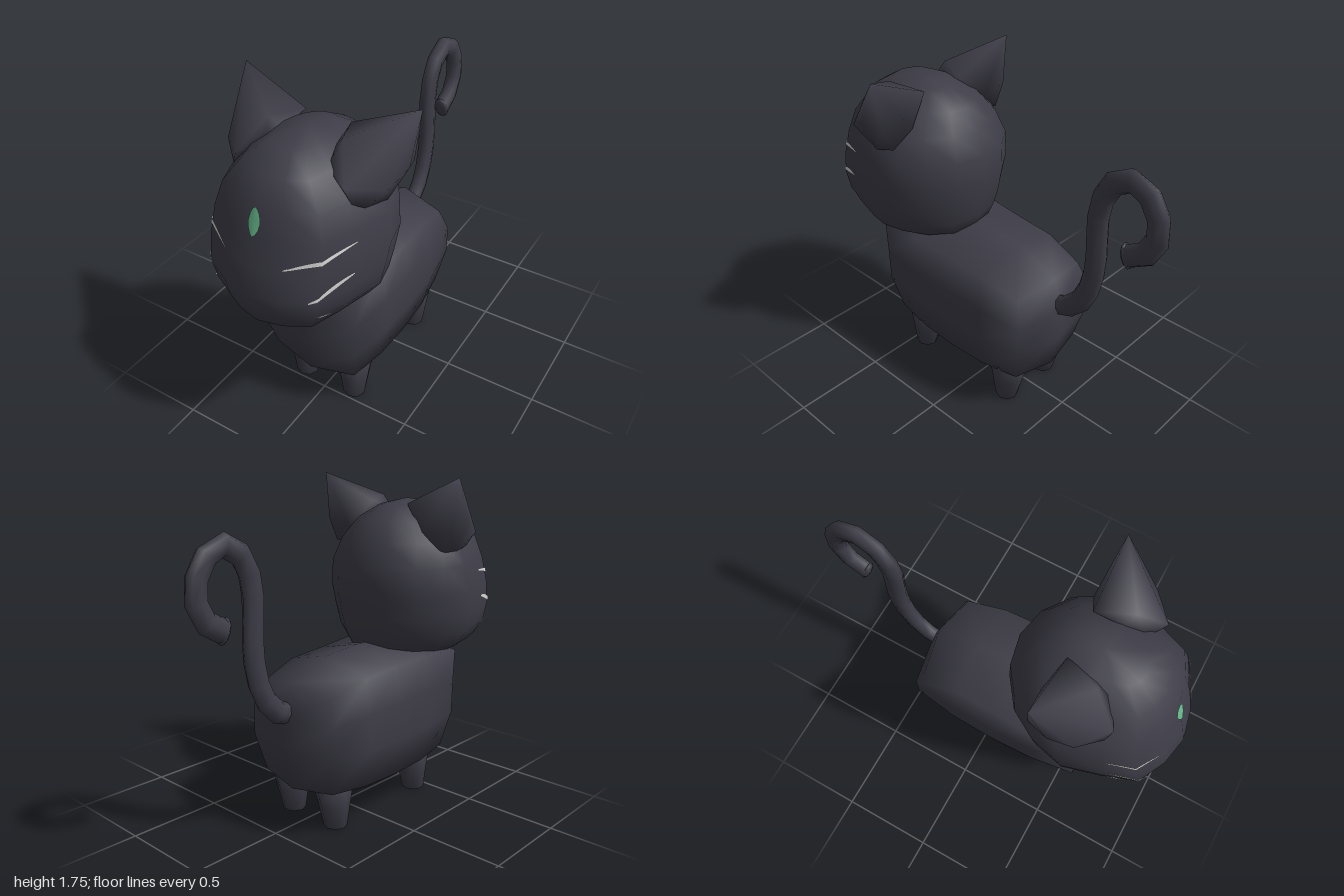
import * as THREE from 'three';
import { mergeVertices } from 'three/addons/utils/BufferGeometryUtils.js';
import { ConvexGeometry } from 'three/addons/geometries/ConvexGeometry.js';

const MID = -0.015; // x of the body's middle line

// Head cross-sections from chin to crown: y, half width, back z, front z
const HEAD = [
  [0.75, 0, 0.56, 0.56], [0.785, 0.22, 0.26, 0.84], [0.85, 0.325, 0.17, 0.955],
  [0.93, 0.385, 0.14, 0.98], [1.03, 0.405, 0.112, 1.0], [1.16, 0.42, 0.09, 0.965],
  [1.3, 0.402, 0.09, 0.925], [1.42, 0.352, 0.145, 0.885], [1.53, 0.245, 0.21, 0.82],
  [1.6, 0.13, 0.33, 0.7], [1.63, 0, 0.5, 0.5],
];

// Half outline of each cross-section from nose to nape (x, z), flat along the cheeks
const HALF = [
  [0, 1], [0.37, 0.93], [0.71, 0.77], [0.86, 0.4], [1, -0.05],
  [0.92, -0.37], [0.72, -0.69], [0.39, -0.92], [0, -1],
];
const OUTLINE = [...HALF, ...HALF.slice(1, -1).reverse().map(([x, z]) => [-x, z])];
const SEG = OUTLINE.length;

// Point on the head at height y and outline position t (0 = nose, +4 = left side, -4 = right side)
function headPoint(y, t, lift = 0) {
  let i = 0;
  while (i < HEAD.length - 2 && y > HEAD[i + 1][0]) i++;
  const f = (y - HEAD[i][0]) / (HEAD[i + 1][0] - HEAD[i][0]);
  const [, w, back, front] = HEAD[i].map((v, k) => THREE.MathUtils.lerp(v, HEAD[i + 1][k], f));
  const j = Math.floor(t), p = OUTLINE[(j + SEG) % SEG], q = OUTLINE[(j + 1 + SEG) % SEG];
  const [x, z] = p.map((v, k) => THREE.MathUtils.lerp(v, q[k], t - j));
  return new THREE.Vector3(
    MID + (w + lift) * x, y,
    (front + back) / 2 + ((front - back) / 2 + lift) * z);
}

// Weld vertices so the shading is smooth
function smooth(geometry) {
  geometry.deleteAttribute('normal');
  geometry.deleteAttribute('uv');
  const welded = mergeVertices(geometry, 1e-4);
  welded.computeVertexNormals();
  return welded;
}

function fromRings(rings) {
  const n = rings[0].length, index = [];
  for (let i = 0; i < rings.length - 1; i++) {
    for (let j = 0; j < n; j++) {
      const a = i * n + j, b = i * n + (j + 1) % n;
      index.push(a, b, a + n, b, b + n, a + n);
    }
  }
  const g = new THREE.BufferGeometry().setFromPoints(rings.flat());
  g.setIndex(index);
  return smooth(g);
}

function reshape(geometry, rule) {
  const p = geometry.attributes.position, v = new THREE.Vector3();
  for (let i = 0; i < p.count; i++) {
    rule(v.fromBufferAttribute(p, i));
    p.setXYZ(i, v.x, v.y, v.z);
  }
  return geometry;
}

export function createModel() {
  const model = new THREE.Group();
  const fur = new THREE.MeshStandardMaterial({ color: 0x3e3d48 });
  const whiskerGrey = new THREE.MeshStandardMaterial({ color: 0xd4d4d4, side: THREE.DoubleSide });
  const green = new THREE.MeshStandardMaterial({ color: 0x66b58a, side: THREE.DoubleSide });
  fur.name = 'dark fur';
  whiskerGrey.name = 'pale whisker';
  green.name = 'green mark';

  const add = (name, geometry, material = fur) => {
    const mesh = new THREE.Mesh(geometry, material);
    mesh.name = name;
    model.add(mesh);
    return mesh;
  };

  // Body: a box swollen in the middle of each face, with fuller shoulders at the chest
  const body = reshape(new THREE.BoxGeometry(2, 2, 2, 2, 3, 4), (v) => {
    const { x, y, z } = v;
    const a = Math.abs(x) ** 2, b = Math.abs(y) ** 3, c = Math.abs(z) ** 2.5;
    const shoulder = y > 0 && z > 0 ? z : 0;
    v.x = -0.02 + 0.32 * x * (1 - 0.14 * b * (1 - 0.8 * shoulder)) * (1 - 0.13 * c * (1 - 0.6 * shoulder * b));
    v.y = 0.54 + 0.345 * y * (y > 0
      ? (1 - (0.2 - 0.14 * shoulder) * a) * (1 - (z < 0 ? 0.29 : 0.16) * c)
      : (1 - 0.08 * a) * (1 - 0.07 * c));
    v.z = 0.095 + 0.545 * z * (1 - 0.09 * a) * (1 - 0.1 * b * (1 - 0.7 * shoulder));
  });
  add('body', smooth(body));

  // Head
  add('head', fromRings(HEAD.map(([y]) => OUTLINE.map((_, j) => headPoint(y, j)))));

  // Ears: blunt-based cones leaning outward
  const earPoints = [
    [0.455, 1.755, 0.355], [0.12, 1.61, 0.37], [0.14, 1.58, 0.52], [0.19, 1.635, 0.55],
    [0.16, 1.53, 0.62], [0.24, 1.5, 0.665], [0.28, 1.49, 0.685], [0.31, 1.42, 0.67],
    [0.42, 1.47, 0.57], [0.455, 1.53, 0.45], [0.42, 1.5, 0.345], [0.25, 1.47, 0.325],
    [0.36, 1.385, 0.345], [0.365, 1.35, 0.47], [0.33, 1.37, 0.6],
  ];
  for (const s of [1, -1]) {
    const points = earPoints.map(([x, y, z]) => new THREE.Vector3(s * x, y, z));
    add(s > 0 ? 'leftEar' : 'rightEar', smooth(new ConvexGeometry(points)));
  }

  // Legs: tapered, wider front to back at the top
  for (const s of [1, -1]) {
    for (const [end, footZ, hipZ] of [['front', 0.43, 0.405], ['back', -0.222, -0.24]]) {
      const leg = reshape(new THREE.CylinderGeometry(1, 1, 1, 8, 2), (v) => {
        const h = v.y + 0.5;
        v.x = MID * 0.3 + s * 0.153 + v.x * (0.06 + 0.032 * h);
        v.z = THREE.MathUtils.lerp(footZ, hipZ, h) + v.z * (0.062 + 0.06 * h);
        v.y = h * 0.26;
      });
      add(end + (s > 0 ? 'LeftLeg' : 'RightLeg'), smooth(leg));
    }
  }

  // Tail: rises, then curls over backwards
  const path = new THREE.CatmullRomCurve3([
    [-0.38, 0.62], [-0.47, 0.645], [-0.57, 0.75], [-0.625, 0.95], [-0.625, 1.3], [-0.68, 1.44],
    [-0.79, 1.498], [-0.89, 1.44], [-0.942, 1.3], [-0.89, 1.17], [-0.795, 1.115],
  ].map(([z, y]) => new THREE.Vector3(0, y, z)), false, 'centripetal');
  const tail = add('tail', new THREE.TubeGeometry(path, 15, 0.058, 8));
  tail.scale.x = 0.72;
  tail.position.x = -0.02;
  const tip = add('tailTip', new THREE.SphereGeometry(1, 8, 6));
  tip.position.set(-0.02, 1.115, -0.795);
  tip.scale.set(0.042, 0.066, 0.022);
  tip.rotation.x = 0.35;

  // Whiskers: thin strips lying on the cheeks, from the side towards the nose
  const whiskers = [
    ['upper', 3.05, 0.95, 1.25, 1.18, 0.011],
    ['middle', 3.05, 1.75, 1.105, 1.035, 0.015],
    ['lower', 3.05, 1.9, 0.91, 0.95, 0.007],
  ];
  for (const s of [1, -1]) {
    for (const [name, t0, t1, y0, y1, half] of whiskers) {
      const N = 10, points = [], index = [];
      for (let i = 0; i <= N; i++) {
        const f = i / N, t = s * THREE.MathUtils.lerp(t0, t1, f);
        const y = THREE.MathUtils.lerp(y0, y1, f * f * 0.5 + f * 0.5);
        const w = half * (0.35 + 0.65 * Math.sin(Math.PI * f));
        points.push(headPoint(y - w, t, 0.006), headPoint(y + w, t, 0.006));
        if (i < N) {
          const a = 2 * i;
          if (s > 0) index.push(a, a + 1, a + 2, a + 2, a + 1, a + 3);
          else index.push(a, a + 2, a + 1, a + 2, a + 3, a + 1);
        }
      }
      const strip = new THREE.BufferGeometry().setFromPoints(points);
      strip.setIndex(index);
      strip.computeVertexNormals();
      add(name + (s > 0 ? 'LeftWhisker' : 'RightWhisker'), strip, whiskerGrey);
    }
  }

  // Forehead mark: an upright pointed oval following the brow
  const mark = reshape(new THREE.CircleGeometry(1, 12), (v) => {
    v.copy(headPoint(1.36 + 0.064 * v.y, 0.22 * v.x * (1 - 0.3 * v.y * v.y), 0.006));
  });
  mark.computeVertexNormals();
  add('foreheadMark', mark, green);

  return model;
}
